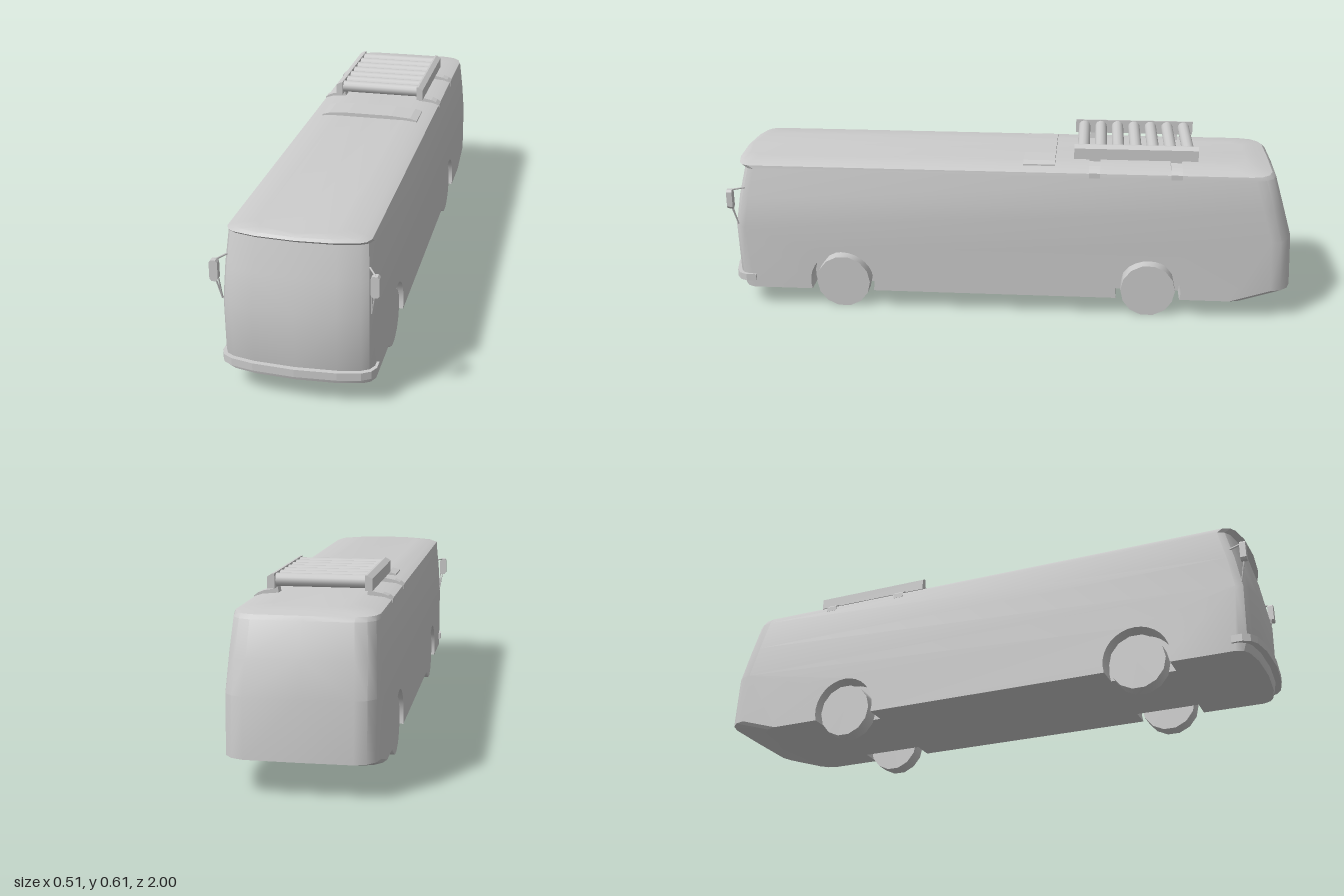
import * as THREE from 'three';
import { toCreasedNormals } from 'three/addons/utils/BufferGeometryUtils.js';

const mat = new THREE.MeshStandardMaterial({ color: 0xcccccc });
const WHEELS = [0.587, -0.5];
const FLOOR = 0.07, ARCH_R = 0.115, ARCH_Y = 0.1, WELL_X = 0.155;

function add(parent, name, geo, x = 0, y = 0, z = 0) {
  const m = new THREE.Mesh(geo, mat);
  m.name = name;
  m.position.set(x, y, z);
  parent.add(m);
  return m;
}

// Half plan outline, from front centre around the left side to back centre
function planRing(y, w, f, b) {
  return [[0, f], [0.55 * w, f - 0.007], [0.85 * w, f - 0.022], [0.95 * w, f - 0.036], [w, f - 0.06],
    [w, b + 0.075], [0.96 * w, b + 0.04], [0.86 * w, b + 0.015], [0.7 * w, b + 0.002], [0, b]]
    .map(([x, z]) => [x, y, z]);
}
const SIDE = 4; // index of the long straight segment in a ring

function bodyGeometry() {
  const pos = [];
  // each triangle is written with its mirror image
  const tri = (a, b, c) => {
    pos.push(...a, ...b, ...c);
    for (const p of [a, c, b]) pos.push(-p[0], p[1], p[2]);
  };
  const quad = (a, b, c, d) => { tri(a, b, c); tri(a, c, d); };
  const fill = (pts, map) => {
    const g = new THREE.ShapeGeometry(new THREE.Shape(pts.map(p => new THREE.Vector2(...p))));
    const p = g.attributes.position, at = i => map(p.getX(i), p.getY(i));
    for (let i = 0; i < g.index.count; i += 3) {
      tri(...[0, 1, 2].map(k => at(g.index.getX(i + k))));
    }
  };

  // shell: lower body, windows, roof lip and crown
  const rings = [
    [FLOOR, 0.232, 0.97, -0.86], [0.115, 0.232, 0.984, -1], [0.3, 0.232, 0.988, -0.99],
    [0.41, 0.2275, 0.969, -0.957], [0.515, 0.22, 0.943, -0.925], [0.528, 0.218, 0.962, -0.912],
    [0.536, 0.195, 0.955, -0.875], [0.542, 0.13, 0.94, -0.83],
  ].map(r => planRing(...r));
  for (let i = 0; i < rings.length - 1; i++) {
    const a = rings[i], b = rings[i + 1];
    for (let j = 0; j < a.length - 1; j++) {
      if (i < 2 && j === SIDE) continue;
      quad(a[j], a[j + 1], b[j + 1], b[j]);
    }
  }
  const top = rings[rings.length - 1];
  fill(top.map(p => [p[0], -p[2]]), (u, v) => [u, top[0][1], -v]);

  // wheel arches as points in the (-z, y) plane
  const dip = Math.asin((ARCH_Y - FLOOR) / ARCH_R);
  const arch = z => Array.from({ length: 19 }, (_, i) => {
    const t = -dip + (Math.PI + 2 * dip) * i / 18;
    return [-z + ARCH_R * Math.cos(t), ARCH_Y + ARCH_R * Math.sin(t)];
  });
  const arches = WHEELS.map(arch);

  // lower side panel with the arches cut out
  const sidePts = [];
  for (let i = 0; i < 3; i++) sidePts.push([-rings[i][SIDE + 1][2], rings[i][SIDE + 1][1]]);
  for (let i = 2; i >= 0; i--) sidePts.push([-rings[i][SIDE][2], rings[i][SIDE][1]]);
  for (const a of arches) sidePts.push(...[...a].reverse());
  fill(sidePts, (u, v) => [0.232, v, -u]);

  // wheel wells
  for (const a of arches) {
    const at = (x, p) => [x, p[1], -p[0]];
    for (let i = 0; i < a.length - 1; i++) {
      quad(at(WELL_X, a[i]), at(0.232, a[i]), at(0.232, a[i + 1]), at(WELL_X, a[i + 1]));
    }
    fill(a, (u, v) => [WELL_X, v, -u]);
  }

  // underside with notches for the wells
  const under = [], half = ARCH_R * Math.cos(dip);
  rings[0].forEach((p, j) => {
    under.push([p[0], p[2]]);
    if (j === SIDE) {
      for (const z of WHEELS) {
        under.push([0.232, z + half], [WELL_X, z + half], [WELL_X, z - half], [0.232, z - half]);
      }
    }
  });
  fill(under, (u, v) => [u, FLOOR, v]);

  const g = new THREE.BufferGeometry();
  g.setAttribute('position', new THREE.Float32BufferAttribute(pos, 3));
  return toCreasedNormals(g, 0.5);
}

// Extrude an outline of points, centred on its depth
function slab(pts, depth) {
  const s = new THREE.Shape(pts.map(p => new THREE.Vector2(...p)));
  return new THREE.ExtrudeGeometry(s, { depth, bevelEnabled: false }).translate(0, 0, -depth / 2);
}

function rod(parent, name, a, b, r) {
  const p = new THREE.Vector3(...a), q = new THREE.Vector3(...b);
  const m = add(parent, name, new THREE.CylinderGeometry(r, r, p.distanceTo(q), 6));
  m.position.copy(p).lerp(q, 0.5);
  m.quaternion.setFromUnitVectors(new THREE.Vector3(0, 1, 0), q.sub(p).normalize());
}

export function createModel() {
  const bus = new THREE.Group();
  bus.name = 'bus';
  add(bus, 'body', bodyGeometry());

  // front bumper wrapping around the corners
  const outer = [[0, 1], [0.13, 0.992], [0.2, 0.977], [0.228, 0.96], [0.24, 0.935], [0.24, 0.9]];
  const inner = [[0.225, 0.9], [0.225, 0.92], [0.19, 0.95], [0, 0.97]];
  const halfBumper = [...outer, ...inner];
  const bumperPts = [...halfBumper, ...halfBumper.slice(1, -1).reverse().map(([x, z]) => [-x, z])];
  // order: outer left, inner, then inner right, outer right
  const bumper = add(bus, 'frontBumper', slab(bumperPts, 0.025), 0, 0.1095, 0);
  bumper.rotation.x = Math.PI / 2;

  // wheels
  const wheelGeo = toCreasedNormals(new THREE.CylinderGeometry(0.096, 0.096, 0.056, 14).rotateZ(Math.PI / 2), 0.6);
  for (const z of WHEELS) {
    for (const s of [1, -1]) {
      add(bus, (z > 0 ? 'front' : 'rear') + 'Wheel', wheelGeo, s * 0.193, 0.096, z);
    }
  }

  // roof hatch
  const hatch = [[-0.175, 0.53], [0.175, 0.53], [0.175, 0.543], [0.15, 0.55], [0.08, 0.555],
    [-0.08, 0.555], [-0.15, 0.55], [-0.175, 0.543]];
  add(bus, 'roofHatch', slab(hatch, 0.11), 0, 0, -0.11);

  // roof rack: feet, side rails and rollers
  const rack = new THREE.Group();
  rack.name = 'roofRack';
  bus.add(rack);
  const foot = [[0.221, 0.513], [0.221, 0.53], [0.208, 0.54], [0.19, 0.547], [0.158, 0.553],
    [0.158, 0.565], [0.145, 0.565], [0.14, 0.535], [0.19, 0.53], [0.212, 0.513]];
  const rail = [[0.142, 0.562], [0.165, 0.562], [0.165, 0.6], [0.148, 0.61], [0.142, 0.61]];
  for (const s of [1, -1]) {
    const mirror = pts => pts.map(([x, y]) => [s * x, y]);
    for (const z of [-0.302, -0.582]) add(rack, 'rackFoot', slab(mirror(foot), 0.038), 0, 0, z);
    add(rack, 'rackRail', slab(mirror(rail), 0.425), 0, 0, -0.443);
  }
  for (let i = 0; i < 7; i++) {
    const roller = new THREE.CylinderGeometry(0.021, 0.021, 0.288, 14).rotateZ(Math.PI / 2);
    add(rack, 'rackRoller', roller, 0, 0.587, -0.262 - i * 0.06);
  }

  // wing mirrors on thin arms
  const housing = [[-0.013, -0.025], [-0.007, -0.033], [0.007, -0.033], [0.013, -0.025],
    [0.013, 0.028], [0.007, 0.035], [-0.007, 0.035], [-0.013, 0.028]];
  for (const s of [1, -1]) {
    const wing = new THREE.Group();
    wing.name = s > 0 ? 'leftMirror' : 'rightMirror';
    bus.add(wing);
    add(wing, 'mirrorHousing', slab(housing, 0.02), s * 0.242, 0.411, 0.967);
    rod(wing, 'upperArm', [s * 0.215, 0.445, 0.92], [s * 0.24, 0.444, 0.965], 0.003);
    rod(wing, 'lowerArm', [s * 0.227, 0.312, 0.95], [s * 0.24, 0.385, 0.967], 0.0025);
    rod(wing, 'lowerArm', [s * 0.227, 0.312, 0.95], [s * 0.23, 0.385, 0.967], 0.0025);
  }
  return bus;
}
